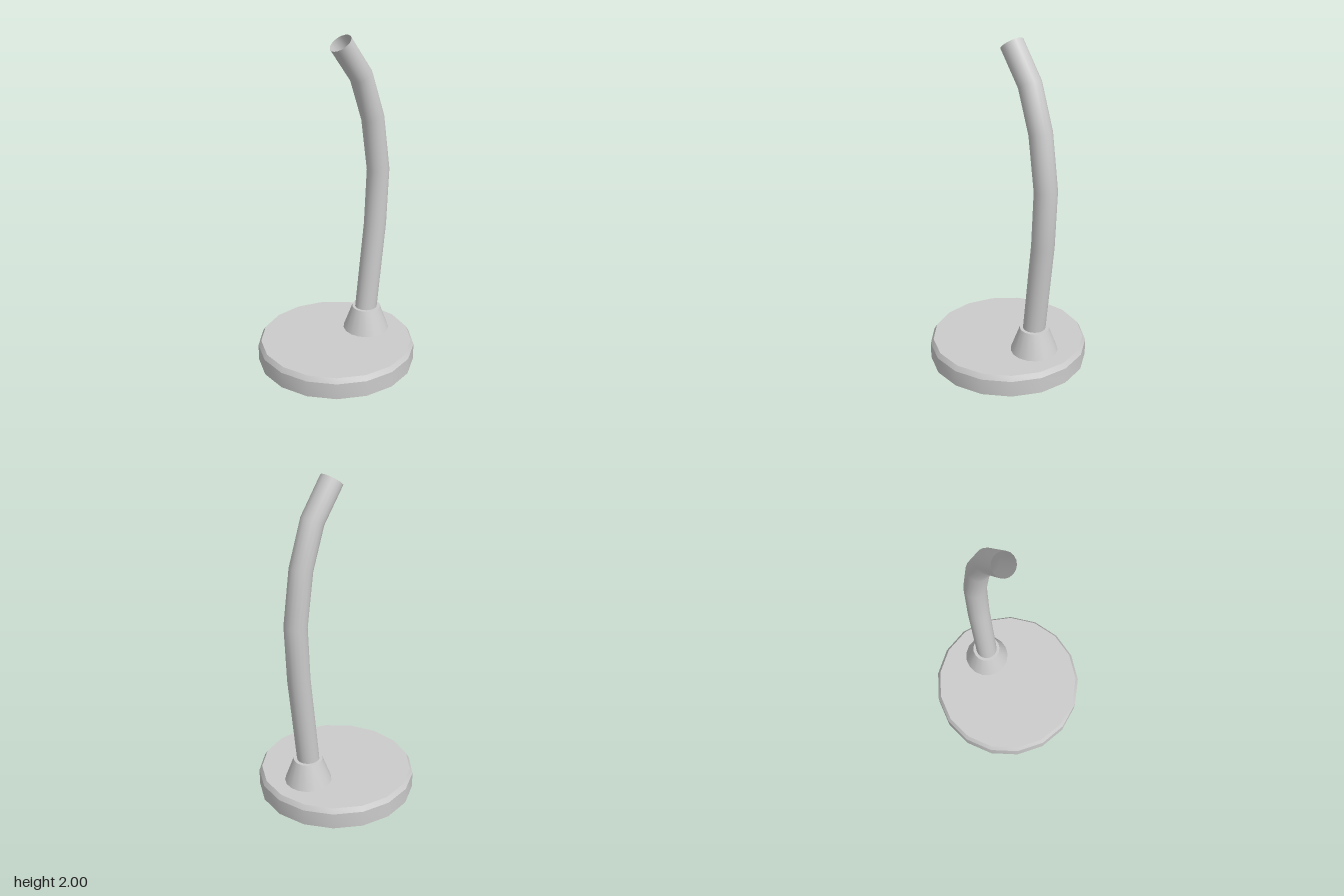
import * as THREE from 'three';
import { mergeVertices, toCreasedNormals } from 'three/addons/utils/BufferGeometryUtils.js';

const SIDES = 17;
const PHASE = -0.147;
const CREASE = 0.45;

const material = new THREE.MeshStandardMaterial({ color: 0xcccccc });
const openMaterial = new THREE.MeshStandardMaterial({ color: 0xcccccc, side: THREE.DoubleSide });

// Turned solid from [radius, height] pairs, with sharp edges between bands
function turned(name, profile) {
  const points = profile.map(([r, y]) => new THREE.Vector2(r, y));
  const geometry = new THREE.LatheGeometry(points, SIDES, PHASE);
  const mesh = new THREE.Mesh(toCreasedNormals(geometry, CREASE), material);
  mesh.name = name;
  return mesh;
}

// Open pipe with mitred rings along [y, z] centres
function bentPipe(name, path, radius) {
  const centres = path.map(([y, z]) => new THREE.Vector3(0, y, z));
  const last = centres.length - 1;
  let geometry = new THREE.CylinderGeometry(radius, radius, last, SIDES, last, true, PHASE);
  const pos = geometry.attributes.position;
  const v = new THREE.Vector3();
  for (let i = 0; i < pos.count; i++) {
    v.fromBufferAttribute(pos, i);
    const ring = Math.round(v.y + last / 2);
    const tangent = centres[Math.min(ring + 1, last)].clone().sub(centres[ring]).normalize();
    if (ring > 0) tangent.add(centres[ring].clone().sub(centres[ring - 1]).normalize());
    const tilt = Math.atan2(tangent.z, tangent.y);
    v.setY(0).applyAxisAngle(new THREE.Vector3(1, 0, 0), tilt).add(centres[ring]);
    pos.setXYZ(i, v.x, v.y, v.z);
  }
  // Weld the seam so the pipe shades smoothly all round
  geometry.deleteAttribute('uv');
  geometry.deleteAttribute('normal');
  geometry = mergeVertices(geometry, 1e-4);
  geometry.computeVertexNormals();
  const mesh = new THREE.Mesh(geometry, openMaterial);
  mesh.name = name;
  return mesh;
}

export function createModel() {
  const model = new THREE.Group();
  model.name = 'curvedStand';

  // Round foot with a bevelled top edge
  model.add(turned('base', [[0, 0], [0.483, 0], [0.483, 0.1], [0.465, 0.13], [0, 0.13]]));

  // Tapered socket towards the back
  const socket = turned('socket', [[0, 0.13], [0.143, 0.13], [0.088, 0.28], [0, 0.28]]);
  socket.position.z = -0.234;
  model.add(socket);

  // Neck, bowing backwards then curling forwards, open at the tip
  model.add(bentPipe('neck', [
    [0.14, -0.217], [0.835, -0.293], [1.18, -0.309],
    [1.505, -0.262], [1.76, -0.175], [1.96, -0.031],
  ], 0.068));

  return model;
}
